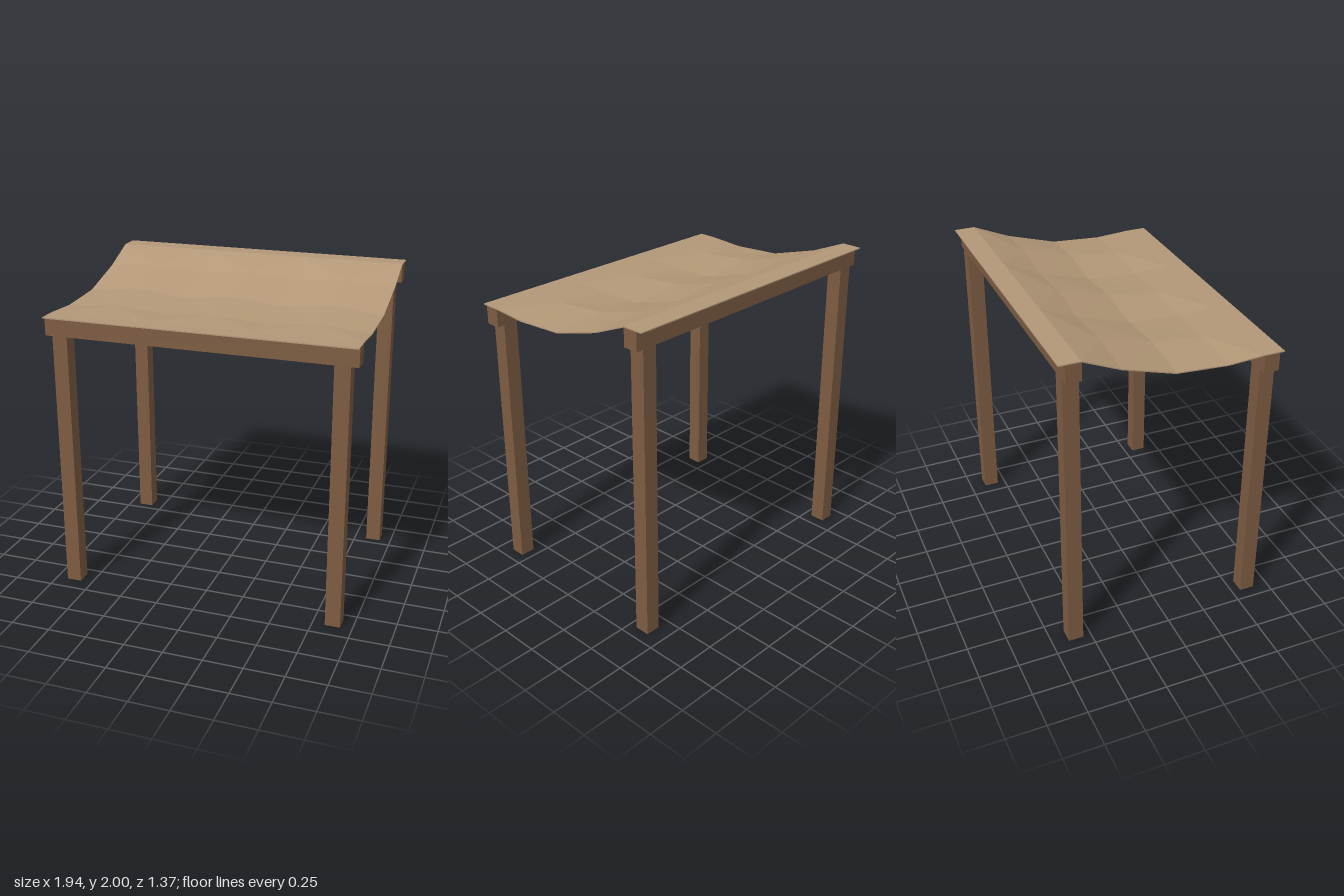
import * as THREE from 'three';

const wood = new THREE.MeshStandardMaterial({ color: 0x7d5c42, flatShading: true });
const cloth = new THREE.MeshStandardMaterial({ color: 0xb39878, flatShading: true });

function box(name, w, h, d, x, y, z) {
  const mesh = new THREE.Mesh(new THREE.BoxGeometry(w, h, d), wood);
  mesh.name = name;
  mesh.position.set(x, y, z);
  return mesh;
}

// Sagging sheet: each row is [z, height on even columns, height on odd columns]
function canopyGeometry() {
  const rows = [
    [-0.685, 2, 2], [-0.555, 2, 2], [-0.325, 1.901, 1.925], [0, 1.805, 1.838],
    [0.325, 1.784, 1.805], [0.55, 1.797, 1.797], [0.682, 1.797, 1.797],
  ];
  const cols = 7, thickness = 0.007, pos = [];
  const point = (j, i, drop) => [
    -0.972 + i * 0.324, rows[j][1 + (i % 2)] - drop, rows[j][0],
  ];
  const tri = (a, b, c) => pos.push(...a, ...b, ...c);
  const quad = (a, b, c, d) => { tri(a, b, c); tri(a, c, d); };

  // Upper and lower skins with alternating diagonals
  for (let j = 0; j < rows.length - 1; j++) {
    for (let i = 0; i < cols - 1; i++) {
      const flip = (i % 2 === 1) !== (j >= 4);
      for (const drop of [0, thickness]) {
        const a = point(j, i, drop), b = point(j + 1, i, drop);
        const c = point(j + 1, i + 1, drop), d = point(j, i + 1, drop);
        if (drop === 0) flip ? quad(b, c, d, a) : quad(a, b, c, d);
        else flip ? quad(b, a, d, c) : quad(a, d, c, b);
      }
    }
  }
  // Thin rim
  const rim = (j0, i0, j1, i1) => quad(
    point(j0, i0, 0), point(j0, i0, thickness), point(j1, i1, thickness), point(j1, i1, 0));
  const last = rows.length - 1;
  for (let k = 0; k < last; k++) {
    rim(k, 0, k + 1, 0);
    rim(k + 1, cols - 1, k, cols - 1);
    rim(last, k, last, k + 1);
    rim(0, k + 1, 0, k);
  }
  const geometry = new THREE.BufferGeometry();
  geometry.setAttribute('position', new THREE.Float32BufferAttribute(pos, 3));
  geometry.computeVertexNormals();
  return geometry;
}

export function createModel() {
  const model = new THREE.Group();
  model.name = 'canopyShelter';

  // Two post-and-beam frames, the back one taller
  const beamHeight = 0.114;
  for (const [side, z, top] of [['front', 0.605, 1.79], ['back', -0.6, 1.993]]) {
    const legHeight = top - beamHeight;
    for (const [hand, x] of [['Left', 0.877], ['Right', -0.877]]) {
      model.add(box(`${side}${hand}Post`, 0.096, legHeight, 0.096, x, legHeight / 2, z));
    }
    model.add(box(`${side}Beam`, 1.944, beamHeight, 0.096, 0, top - beamHeight / 2, z));
  }

  // Cloth roof
  const canopy = new THREE.Mesh(canopyGeometry(), cloth);
  canopy.name = 'clothCanopy';
  model.add(canopy);
  return model;
}
